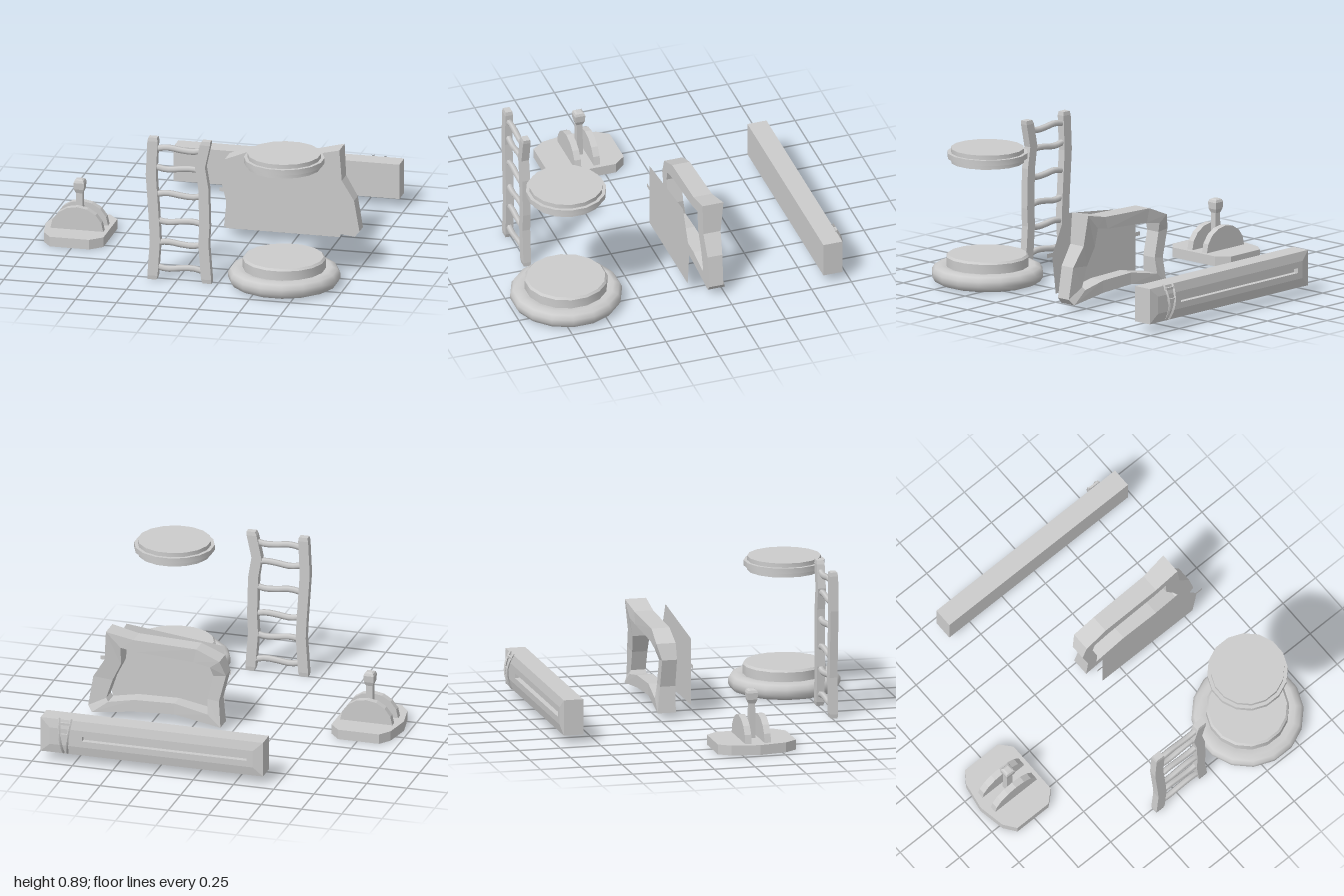
import * as THREE from 'three';
import { toCreasedNormals } from 'three/addons/utils/BufferGeometryUtils.js';

const flat = new THREE.MeshStandardMaterial({ color: 0xcccccc, flatShading: true });
const smooth = new THREE.MeshStandardMaterial({ color: 0xcccccc });
const thin = new THREE.MeshStandardMaterial({ color: 0xcccccc, flatShading: true, side: THREE.DoubleSide });

function add(parent, name, geometry, material = flat, x = 0, y = 0, z = 0) {
  const mesh = new THREE.Mesh(geometry, material);
  mesh.name = name;
  mesh.position.set(x, y, z);
  parent.add(mesh);
  return mesh;
}

function group(parent, name, x = 0, y = 0, z = 0) {
  const g = new THREE.Group();
  g.name = name;
  g.position.set(x, y, z);
  parent.add(g);
  return g;
}

// Skin over loops of points; a ring joins the last loop to the first, otherwise the ends are capped
function loft(loops, ring = false) {
  const n = loops[0].length, index = [];
  const last = loops.length - 1;
  for (let k = 0; k < loops.length - (ring ? 0 : 1); k++) {
    const a = k * n, b = ((k + 1) % loops.length) * n;
    for (let i = 0; i < n; i++) {
      const j = (i + 1) % n;
      index.push(a + i, a + j, b + j, a + i, b + j, b + i);
    }
  }
  if (!ring) for (let i = 1; i < n - 1; i++) {
    index.push(0, i + 1, i, last * n, last * n + i, last * n + i + 1);
  }
  const g = new THREE.BufferGeometry();
  g.setAttribute('position', new THREE.Float32BufferAttribute(loops.flat(2), 3));
  g.setIndex(index);
  const out = g.toNonIndexed();
  out.computeVertexNormals();
  return out;
}

// Rectangular loops: level (for rising parts) and upright (for parts running to the back)
const level = (x, y, hx, hz) => [[x + hx, y, hz], [x + hx, y, -hz], [x - hx, y, -hz], [x - hx, y, hz]];
const upright = (x0, x1, y0, y1, z) => [[x0, y1, z], [x1, y1, z], [x1, y0, z], [x0, y0, z]];

function turned(profile) {
  const pts = profile.map(([r, y]) => new THREE.Vector2(r, y));
  return toCreasedNormals(new THREE.LatheGeometry(pts, 16, Math.PI / 16), 0.7);
}

function slab(points, depth) {
  const shape = new THREE.Shape(points.map(([x, y]) => new THREE.Vector2(x, y)));
  return new THREE.ExtrudeGeometry(shape, { depth, bevelEnabled: false });
}

function buildLever(root) {
  const g = group(root, 'lever', -0.757, 0, 0.105);
  // Uneven octagonal foot, drawn in plan and laid flat
  const foot = slab([[-0.21, 0], [-0.18, -0.165], [-0.125, -0.24], [0.115, -0.24], [0.187, -0.175],
    [0.187, 0.17], [0.125, 0.24], [-0.13, 0.24], [-0.18, 0.17]], 0.06);
  foot.rotateX(-Math.PI / 2);
  add(g, 'leverBase', foot, flat, 0, 0.005, 0);
  // Half-round cheeks either side of the slot
  const arc = [];
  for (let i = 0; i <= 8; i++) {
    const a = (i / 8) * Math.PI;
    arc.push([Math.cos(a) * 0.162, Math.sin(a) * 0.145]);
  }
  for (const z of [-0.08, 0.038]) add(g, 'leverCheek', slab(arc, 0.04), flat, 0, 0.062, z);
  add(g, 'leverStick', loft([level(0, 0.05, 0.024, 0.02), level(0, 0.29, 0.02, 0.017)]));
  add(g, 'leverKnob', loft([level(0, 0.275, 0.02, 0.02), level(0, 0.3, 0.03, 0.029),
    level(0, 0.34, 0.032, 0.032), level(0, 0.355, 0.026, 0.026), level(0, 0.361, 0.016, 0.016)]));
}

function buildLadder(root) {
  const g = group(root, 'ladder', 0, 0, 0.762);
  // Crooked rails with slightly narrowed ends
  const rails = {
    rightRail: [[-0.148, 0.005], [-0.145, 0.03], [-0.13, 0.25], [-0.135, 0.36], [-0.155, 0.66], [-0.145, 0.87], [-0.144, 0.893]],
    leftRail: [[0.187, 0.005], [0.183, 0.03], [0.166, 0.25], [0.172, 0.36], [0.166, 0.6], [0.145, 0.73], [0.175, 0.87], [0.181, 0.893]],
  };
  for (const [name, path] of Object.entries(rails)) {
    add(g, name, loft(path.map(([x, y], i) => {
      const s = i === 0 || i === path.length - 1 ? 0.85 : 1;
      return level(x, y, 0.031 * s, 0.024 * s);
    })));
  }
  // Slightly wavy rungs
  [0.08, 0.235, 0.372, 0.54, 0.702, 0.825].forEach((y, i) => {
    const w = i % 2 ? 0.007 : -0.007;
    const curve = new THREE.CatmullRomCurve3([[-0.14, -w], [-0.06, w], [0.03, -w * 0.5], [0.1, -w], [0.165, w]]
      .map(([x, dy]) => new THREE.Vector3(x, y + dy, 0)));
    add(g, 'rung', new THREE.TubeGeometry(curve, 10, 0.019, 6), smooth);
  });
}

function buildButton(root) {
  const g = group(root, 'roundButton', 0.63, 0, 0.663);
  add(g, 'cushionRing', turned([[0, 0.005], [0.285, 0.005], [0.318, 0.018], [0.334, 0.045], [0.334, 0.075],
    [0.318, 0.1], [0.285, 0.112], [0.255, 0.105], [0, 0.105]]), smooth);
  add(g, 'buttonTop', turned([[0, 0.09], [0.247, 0.09], [0.247, 0.162], [0.235, 0.175], [0, 0.175]]), smooth);
  // Hovering disc with a wider middle band
  add(g, 'hoveringDisc', turned([[0, 0.735], [0.219, 0.735], [0.219, 0.762], [0.24, 0.762], [0.24, 0.795],
    [0.219, 0.795], [0.219, 0.821], [0, 0.821]]), smooth);
}

function buildScreen(root) {
  const g = group(root, 'screen');
  // Outline points [x, y, back z], clockwise from the top corner, outside then inside
  const outer = [[0.065, 0.465, -0.265], [0.21, 0.525, -0.258], [0.6, 0.54, -0.262], [0.765, 0.578, -0.278],
    [0.78, 0.39, -0.255], [0.855, 0.27, -0.24], [0.888, 0.08, -0.235], [0.86, 0.045, -0.255],
    [0.6, 0.075, -0.245], [0.35, 0.085, -0.24], [0.06, 0.042, -0.258], [0.075, 0.2, -0.24], [0.032, 0.37, -0.238]];
  const inner = [[0.125, 0.42, -0.26], [0.23, 0.44, -0.256], [0.58, 0.465, -0.262], [0.675, 0.485, -0.272],
    [0.68, 0.37, -0.252], [0.735, 0.26, -0.24], [0.775, 0.14, -0.238], [0.76, 0.12, -0.25],
    [0.6, 0.15, -0.245], [0.35, 0.155, -0.24], [0.14, 0.115, -0.255], [0.145, 0.21, -0.24], [0.11, 0.36, -0.238]];
  const front = (loop) => loop.map(([x, y]) => [x, y, -0.147]);
  add(g, 'crookedFrame', loft([front(outer), outer, inner, front(inner)], true));
  // Thin pane with a small tab on each side
  const pane = new THREE.Shape([[0.1, 0.072], [0.795, 0.072], [0.825, 0.3], [0.87, 0.3], [0.87, 0.325], [0.82, 0.325],
    [0.71, 0.547], [0.1, 0.475], [0.1, 0.325], [0.06, 0.325], [0.06, 0.3], [0.1, 0.3]]
    .map(([x, y]) => new THREE.Vector2(x, y)));
  add(g, 'pane', new THREE.ShapeGeometry(pane), thin, 0, 0, -0.043);
}

function buildBeam(root) {
  const g = group(root, 'slottedBeam');
  // Block whose back rises to a shallow bevel with a long slot
  add(g, 'beam', loft([upright(-0.42, 0.96, 0.06, 0.275, -0.838), upright(-0.42, 0.96, 0.06, 0.275, -0.957),
    upright(-0.36, 0.9, 0.115, 0.22, -0.968), upright(-0.32, 0.7, 0.153, 0.183, -0.968),
    upright(-0.32, 0.7, 0.153, 0.183, -0.935)]));
  // Bowed slider straps, close together at the foot
  const bow = (x0, x1) => new THREE.QuadraticBezierCurve3(new THREE.Vector3(x0, 0.283, -0.957),
    new THREE.Vector3((x0 + x1) / 2, 0.17, -1.032), new THREE.Vector3(x1, 0.065, -0.957));
  for (const s of [-1, 1]) {
    add(g, 'sliderStrap', new THREE.TubeGeometry(bow(0.806 + s * 0.037, 0.806 + s * 0.012), 10, 0.008, 4), flat);
  }
  for (const [y, w, z] of [[0.255, 0.08, -0.972], [0.19, 0.06, -0.99]]) {
    add(g, 'sliderBar', new THREE.BoxGeometry(w, 0.014, 0.012), flat, 0.806, y, z);
  }
}

export function createModel() {
  const root = new THREE.Group();
  root.name = 'propSet';
  buildLever(root);
  buildLadder(root);
  buildButton(root);
  buildScreen(root);
  buildBeam(root);
  return root;
}
